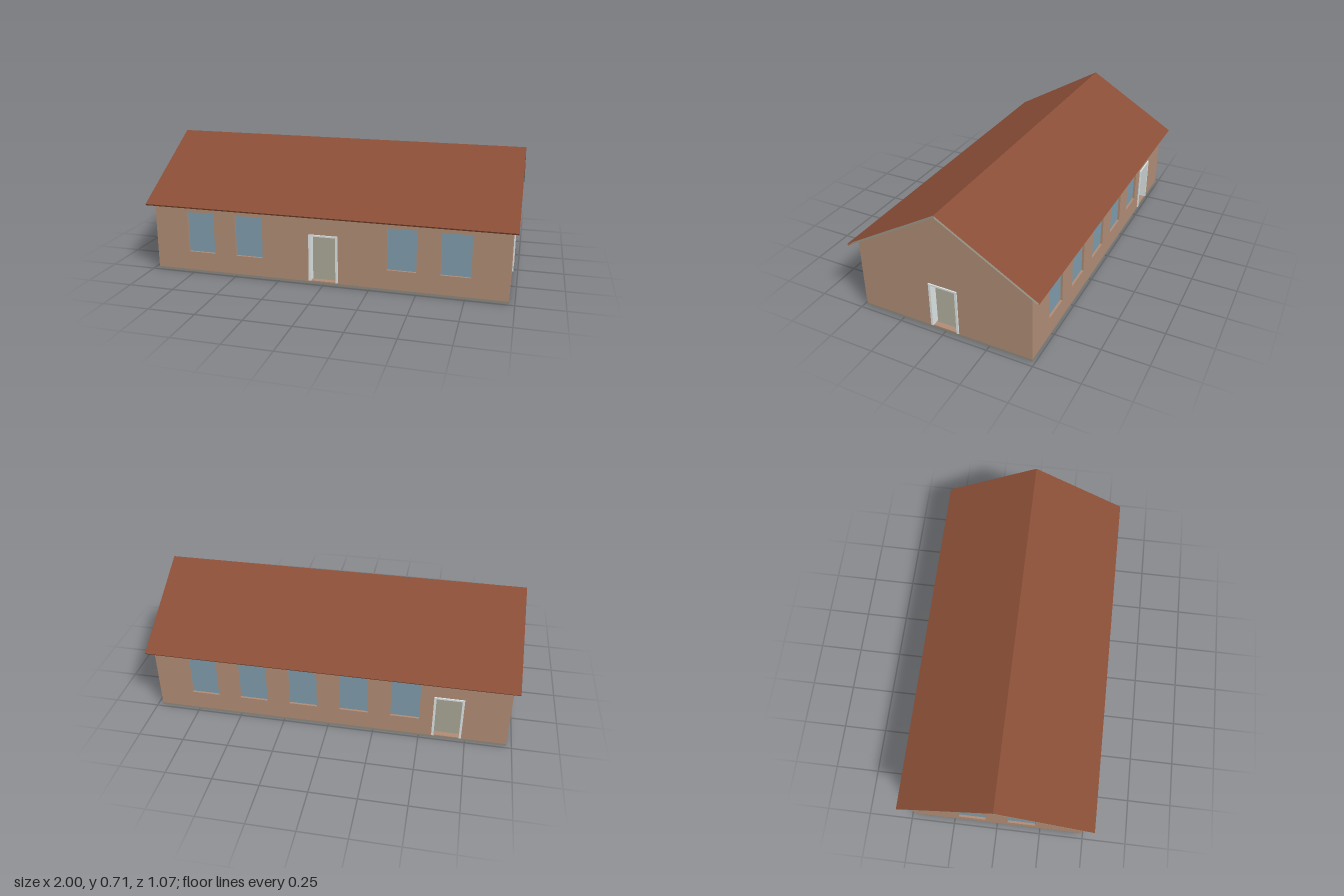
import * as THREE from 'three';

const mat = (name, color, side = THREE.FrontSide) => {
  const m = new THREE.MeshStandardMaterial({ color, side });
  m.name = name;
  return m;
};

export function createModel() {
  const house = new THREE.Group();
  house.name = 'house';

  const wallMat = mat('clay wall', 0xae8b74);
  const roofMat = mat('roof tile', 0x8a4e36, THREE.DoubleSide);
  const stoneMat = mat('grey concrete', 0x8c887c);
  const soffitMat = mat('grey soffit', 0x8c887c, THREE.DoubleSide);
  const glassMat = mat('blue glass', 0x7e9baa);
  const frameMat = mat('pale door frame', 0xdce2e2);

  const HX = 0.97, HZ = 0.485;          // outer half sizes of the walls
  const BASE = 0.012, EAVE = 0.405, RIDGE = 0.692;
  const T = 0.03;                       // wall thickness
  const WIN = { w: 0.156, y0: 0.118, y1: 0.347 };
  const DOOR = { w: 0.16, y0: 0.018, y1: 0.278 };

  const add = (parent, name, geo, material) => {
    const m = new THREE.Mesh(geo, material);
    m.name = name;
    parent.add(m);
    return m;
  };
  const polygon = (pts) => pts.map(([x, y]) => new THREE.Vector2(x, y));
  const extrude = (shape, depth) =>
    new THREE.ExtrudeGeometry(shape, { depth, bevelEnabled: false });

  // One wall in its own plane, outer face towards local +z
  function wall(name, outline, windows, doors) {
    const g = new THREE.Group();
    g.name = name;
    const shape = new THREE.Shape(polygon(outline));
    const cut = (x, o) => shape.holes.push(new THREE.Path(polygon([
      [x - o.w / 2, o.y0], [x - o.w / 2, o.y1], [x + o.w / 2, o.y1], [x + o.w / 2, o.y0]])));
    windows.forEach((x) => cut(x, WIN));
    doors.forEach((x) => cut(x, DOOR));
    add(g, name + 'Panel', extrude(shape, T).translate(0, 0, -T), wallMat);

    // Recessed panes
    windows.forEach((x) => {
      const pane = add(g, 'windowPane', new THREE.BoxGeometry(WIN.w, WIN.y1 - WIN.y0, 0.006), glassMat);
      pane.position.set(x, (WIN.y0 + WIN.y1) / 2, -0.015);
    });

    // Door surrounds standing slightly proud on both faces
    doors.forEach((x) => {
      const a = DOOR.w / 2, b = a - 0.012, top = DOOR.y1, low = DOOR.y0;
      const surround = new THREE.Shape(polygon([
        [-a, low], [-b, low], [-b, top - 0.009], [b, top - 0.009],
        [b, low], [a, low], [a, top], [-a, top]]));
      const f = add(g, 'doorFrame', extrude(surround, T + 0.014), frameMat);
      f.position.set(x, 0, -T - 0.007);
    });
    house.add(g);
    return g;
  }

  // Long walls fit between the gables
  const L = HX - T;
  const longOutline = [[-L, BASE], [L, BASE], [L, EAVE], [-L, EAVE]];
  const front = wall('frontWall', longOutline, [-0.7, -0.42, 0.42, 0.7], [0]);
  front.position.z = HZ;
  const back = wall('backWall', longOutline, [-0.7, -0.42, -0.14, 0.14, 0.42], [0.65]);
  back.position.z = -HZ;
  back.rotation.y = Math.PI;

  // Gable walls
  const gableOutline = [[-HZ, BASE], [HZ, BASE], [HZ, EAVE], [0, RIDGE], [-HZ, EAVE]];
  const left = wall('leftGable', gableOutline, [], [0]);
  left.position.x = HX;
  left.rotation.y = Math.PI / 2;
  const right = wall('rightGable', gableOutline, [-0.14, 0.14], []);
  right.position.x = -HX;
  right.rotation.y = -Math.PI / 2;

  // Floor slab
  add(house, 'floorSlab', new THREE.BoxGeometry(HX * 2, BASE, HZ * 2), stoneMat)
    .position.y = BASE / 2;

  // Roof: thin sheets spanning x, given by two (y, z) edge points
  const sheet = (name, [y0, z0], [y1, z1], material) => {
    const geo = new THREE.BufferGeometry();
    geo.setAttribute('position', new THREE.Float32BufferAttribute(
      [-1, y0, z0, 1, y0, z0, 1, y1, z1, -1, y1, z1], 3));
    geo.setIndex([0, 1, 2, 0, 2, 3]);
    geo.computeVertexNormals();
    add(house, name, geo, material);
  };
  const slope = (RIDGE - EAVE) / HZ;
  const eaveZ = 0.528, eaveY = RIDGE - slope * eaveZ;
  const topZ = 0.535, topY = 0.706 - slope * topZ;
  for (const s of [1, -1]) {
    // Swap edge order on the back so every sheet faces outwards
    const pair = (name, a, b, m) => (s > 0 ? sheet(name, a, b, m) : sheet(name, b, a, m));
    pair('roofSlope', [topY, s * topZ], [0.706, 0], roofMat);
    pair('roofSoffit', [RIDGE + 0.001, 0], [eaveY + 0.001, s * eaveZ], soffitMat);
    pair('eaveEdge', [eaveY + 0.001, s * eaveZ], [topY, s * topZ], roofMat);
  }

  return house;
}
